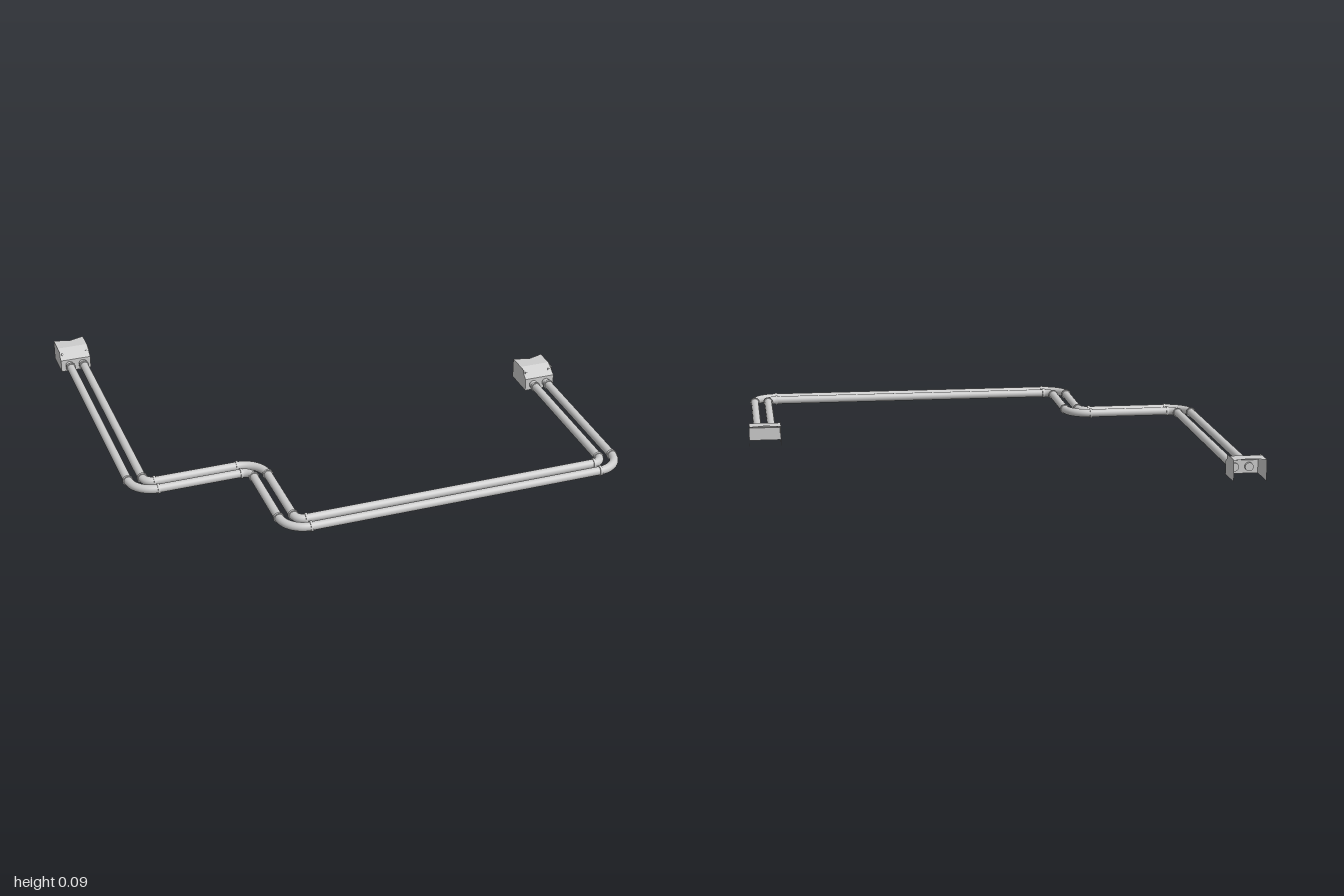
import * as THREE from 'three';

const PIPE_Y = 0.028, PIPE_R = 0.0175;
const material = new THREE.MeshStandardMaterial({ color: 0xcccccc });
const sheet = new THREE.MeshStandardMaterial({ color: 0xcccccc, side: THREE.DoubleSide, flatShading: true });

function add(parent, name, geometry, mat = material) {
  const mesh = new THREE.Mesh(geometry, mat);
  mesh.name = name;
  parent.add(mesh);
  return mesh;
}

// Cylinder between two points
function rod(parent, name, a, b, radius) {
  const dir = b.clone().sub(a);
  const mesh = add(parent, name, new THREE.CylinderGeometry(radius, radius, dir.length(), 20));
  mesh.position.copy(a).add(b).multiplyScalar(0.5);
  mesh.quaternion.setFromUnitVectors(new THREE.Vector3(0, 1, 0), dir.normalize());
}

// Short collar where a straight meets an elbow
function collar(parent, p, dir) {
  const d = dir.clone().multiplyScalar(0.005);
  rod(parent, 'collar', p.clone().sub(d), p.clone().add(d), 0.0215);
}

// Elbows: centre x, z, starting angle, and whether the path turns backwards through the angle
const bends = [
  { x: -0.863, z: 0.285, start: Math.PI / 2, reverse: true },
  { x: -0.517, z: 0.425, start: -Math.PI / 2, reverse: false },
  { x: -0.376, z: 0.747, start: Math.PI / 2, reverse: true },
  { x: 0.862, z: 0.747, start: 0, reverse: true },
];

function pipe(name, radii, startX, endX) {
  const g = new THREE.Group();
  g.name = name;
  let from = new THREE.Vector3(startX, PIPE_Y, -0.75);
  collar(g, new THREE.Vector3(startX, PIPE_Y, -0.715), new THREE.Vector3(0, 0, 1));
  bends.forEach((b, i) => {
    const r = radii[i];
    const at = (a) => new THREE.Vector3(b.x + r * Math.cos(a), PIPE_Y, b.z + r * Math.sin(a));
    let ends = [at(b.start), at(b.start + Math.PI / 2)];
    if (b.reverse) ends.reverse();
    rod(g, 'straight', from, ends[0], PIPE_R);
    const elbow = new THREE.TorusGeometry(r, PIPE_R + 0.0005, 16, 14, Math.PI / 2);
    elbow.rotateZ(b.start).rotateX(Math.PI / 2).translate(b.x, PIPE_Y, b.z);
    add(g, 'elbow', elbow);
    const alongZ = new THREE.Vector3(0, 0, 1), alongX = new THREE.Vector3(1, 0, 0);
    collar(g, ends[0], i % 2 ? alongX : alongZ);
    collar(g, ends[1], i % 2 ? alongZ : alongX);
    // The third bend is entered along z, the fourth along x, as the pairs alternate
    from = ends[1];
  });
  rod(g, 'straight', from, new THREE.Vector3(endX, PIPE_Y, 0.1), PIPE_R);
  collar(g, new THREE.Vector3(endX, PIPE_Y, 0.125), new THREE.Vector3(0, 0, 1));
  return g;
}

// Flat panel through a fan of corners
function panel(parent, name, corners) {
  const geo = new THREE.BufferGeometry();
  geo.setAttribute('position', new THREE.Float32BufferAttribute(corners.flat(), 3));
  const index = [];
  for (let i = 1; i < corners.length - 1; i++) index.push(0, i, i + 1);
  geo.setIndex(index);
  geo.computeVertexNormals();
  add(parent, name, geo, sheet);
}

// Sheet hood, open below and behind, with a notched back edge
function hood(name, x, z) {
  const g = new THREE.Group();
  g.name = name;
  const w = 0.066, top = 0.087, back = -0.068, front = 0.068, ridge = 0.01, sill = 0.054;
  for (const s of [-1, 1]) {
    panel(g, 'cheek', [
      [s * w, 0, back], [s * w, 0, front], [s * w, sill, front],
      [s * w, 0.068, 0.047], [s * w, top, 0.047], [s * w, top, back],
    ]);
    const screw = add(g, 'screw', new THREE.CylinderGeometry(0.005, 0.005, 0.012, 10));
    screw.rotation.x = Math.PI / 3;
    screw.position.set(s * 0.054, 0.07, 0.041);
  }
  panel(g, 'roof', [[0, top, -0.047], [-w, top, back], [-w, top, ridge], [w, top, ridge], [w, top, back]]);
  panel(g, 'slope', [[-w, top, ridge], [-w, sill, front], [w, sill, front], [w, top, ridge]]);
  panel(g, 'frontWall', [[-w, 0, front], [w, 0, front], [w, sill, front], [-w, sill, front]]);
  g.position.set(x, 0, z);
  return g;
}

export function createModel() {
  const model = new THREE.Group();
  model.name = 'twinPipeRun';
  model.add(
    pipe('outerPipe', [0.1, 0.041, 0.1, 0.1], -0.963, 0.962),
    pipe('innerPipe', [0.04, 0.1, 0.04, 0.04], -0.903, 0.902),
    hood('rightHood', -0.934, -0.807),
    hood('leftHood', 0.934, 0.028),
  );
  return model;
}
